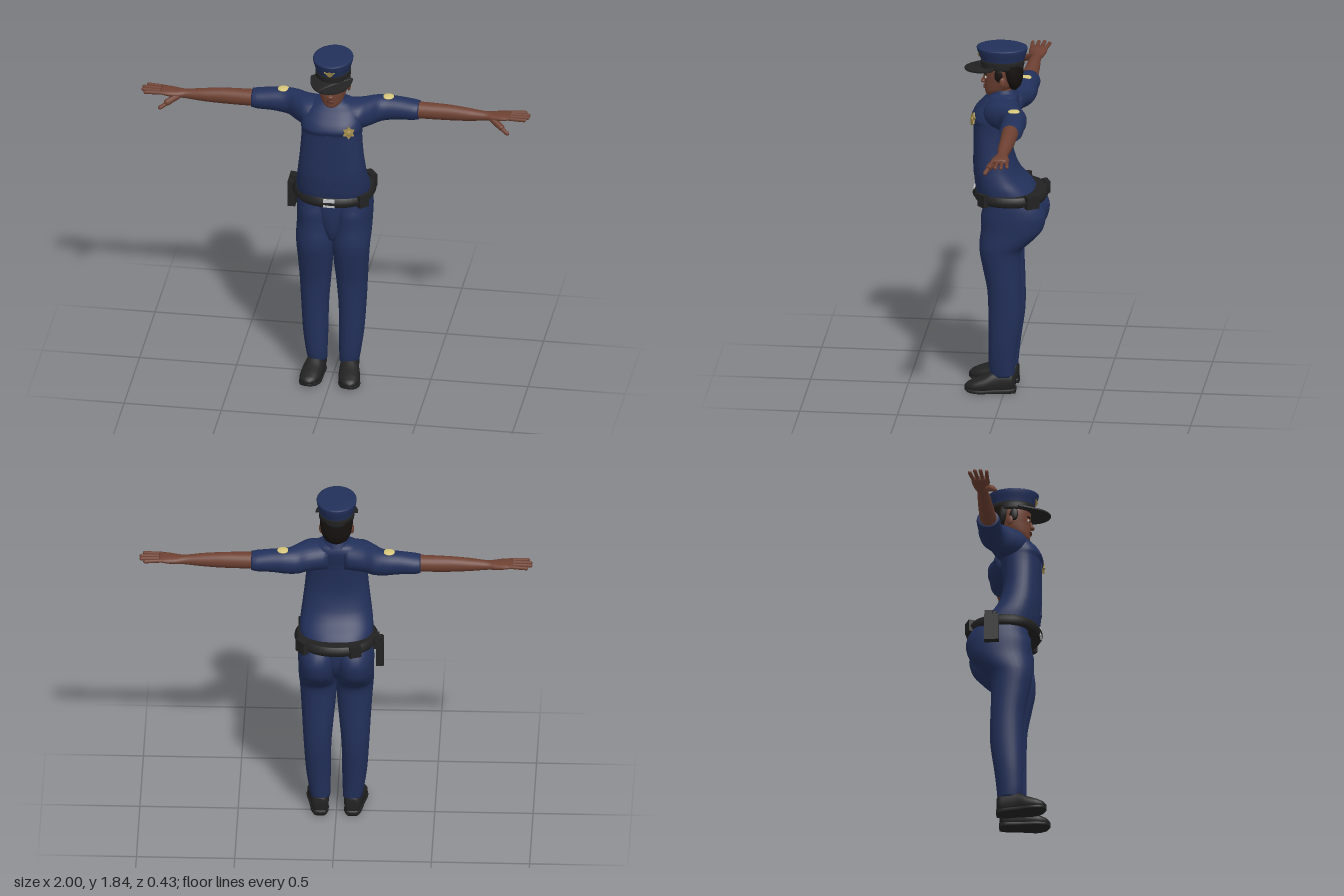
import * as THREE from 'three';

const mat = (name, color) => Object.assign(new THREE.MeshStandardMaterial({ color }), { name });
const navy = mat('navy cloth', 0x22305a);
const skin = mat('skin', 0x6e4132);
const black = mat('black leather', 0x222222);
const hairMat = mat('hair', 0x15110f);
const gold = mat('gold', 0xa08a4a);
const paleGold = mat('pale gold', 0xd6c67a);
const silver = mat('silver', 0xc4c6c8);
const lipMat = mat('lips', 0x54281f);
const white = mat('eye white', 0xd8d0c8);

// Smooth closed skin over rings [x, y, z, a, b] that lie across the given axis
function loft(axis, rings, { n = 2, seg = 28, steps = 4, floor = -1 } = {}) {
  const path = new THREE.CatmullRomCurve3(rings.map(r => new THREE.Vector3(r[0], r[1], r[2])));
  const size = new THREE.CatmullRomCurve3(rings.map(r => new THREE.Vector3(r[3], r[4], 0)));
  const count = (rings.length - 1) * steps, pos = [], idx = [];
  const pw = v => Math.sign(v) * Math.abs(v) ** (2 / n);
  for (let i = 0; i <= count; i++) {
    const c = path.getPoint(i / count), s = size.getPoint(i / count);
    for (let j = 0; j < seg; j++) {
      const t = j / seg * Math.PI * 2, u = s.x * pw(Math.cos(t)), v = s.y * pw(Math.sin(t));
      const p = axis === 'y' ? [c.x + u, c.y, c.z + v]
        : axis === 'x' ? [c.x, c.y + u, c.z + v] : [c.x + u, c.y + v, c.z];
      pos.push(p[0], Math.max(floor, p[1]), p[2]);
      if (i < count) {
        const a = i * seg + j, b = i * seg + (j + 1) % seg;
        idx.push(a, b, a + seg, b, b + seg, a + seg);
      }
    }
  }
  // end caps
  for (const [i, flip] of [[0, true], [count, false]]) {
    const c = path.getPoint(i / count), k = pos.length / 3;
    pos.push(c.x, c.y, c.z);
    for (let j = 0; j < seg; j++) {
      const a = i * seg + j, b = i * seg + (j + 1) % seg;
      idx.push(...(flip ? [k, b, a] : [k, a, b]));
    }
  }
  // turn the faces outward
  let vol = 0;
  const P = k => new THREE.Vector3().fromArray(pos, k * 3);
  for (let i = 0; i < idx.length; i += 3) vol += P(idx[i]).dot(P(idx[i + 1]).cross(P(idx[i + 2])));
  if (vol < 0) idx.reverse();
  const g = new THREE.BufferGeometry();
  g.setAttribute('position', new THREE.Float32BufferAttribute(pos, 3));
  g.setIndex(idx);
  g.computeVertexNormals();
  return g;
}

function capsule(a, b, r) {
  const A = new THREE.Vector3(...a), B = new THREE.Vector3(...b), d = B.clone().sub(A);
  const g = new THREE.CapsuleGeometry(r, d.length(), 4, 10);
  g.applyQuaternion(new THREE.Quaternion().setFromUnitVectors(new THREE.Vector3(0, 1, 0), d.normalize()));
  return g.translate(...A.add(B).multiplyScalar(0.5).toArray());
}

export function createModel() {
  const model = new THREE.Group();
  model.name = 'officer';
  const add = (name, geo, m, p = [0, 0, 0], r = [0, 0, 0], s = [1, 1, 1]) => {
    const mesh = new THREE.Mesh(geo, m);
    mesh.name = name;
    mesh.position.set(...p); mesh.rotation.set(...r); mesh.scale.set(...s);
    model.add(mesh);
    return mesh;
  };
  const ball = new THREE.SphereGeometry(1, 20, 14);
  const plate = (pts, depth) => new THREE.ExtrudeGeometry(
    new THREE.Shape(pts.map(p => new THREE.Vector2(...p))), { depth, bevelEnabled: false });

  // shirt: [y, half width, front z, back z]
  const torso = [[1.03, .185, .14, -.185], [1.1, .187, .155, -.135], [1.15, .182, .16, -.085],
    [1.2, .175, .165, -.055], [1.3, .163, .165, -.03], [1.4, .155, .165, -.035], [1.44, .155, .165, -.04],
    [1.465, .156, .174, -.045], [1.5, .155, .158, -.055], [1.55, .138, .112, -.065],
    [1.58, .1, .08, -.055], [1.595, .062, .065, -.035]];
  add('shirt', loft('y', torso.map(([y, a, f, b]) => [0, y, (f + b) / 2, a, (f - b) / 2]), { n: 2.4, seg: 40 }), navy);
  add('shirtPlacket', new THREE.BoxGeometry(.025, .3, .008), navy, [0, 1.3, .163]);

  for (const s of [1, -1]) {
    const side = s > 0 ? 'left' : 'right';
    // sleeve and rolled cuff
    add(side + 'Sleeve', loft('x', [[.04, 1.51, .01, .075, .085], [.14, 1.508, 0, .076, .1], [.19, 1.508, -.035, .074, .09],
      [.24, 1.51, -.065, .068, .066], [.32, 1.513, -.07, .06, .06], [.4, 1.51, -.07, .053, .06],
      [.43, 1.51, -.07, .047, .054]].map(r => [s * r[0], ...r.slice(1)])), navy);
    add(side + 'ShoulderButton', ball, paleGold, [s * .27, 1.573, -.07], [0, 0, 0], [.03, .009, .03]);

    // bare arm and palm
    add(side + 'Arm', loft('x', [[.38, 1.512, -.067, .043, .044], [.48, 1.51, -.068, .043, .041], [.58, 1.509, -.068, .041, .037],
      [.68, 1.507, -.066, .034, .033], [.77, 1.506, -.066, .024, .027], [.81, 1.508, -.066, .021, .038],
      [.86, 1.513, -.066, .019, .046], [.9, 1.517, -.066, .013, .045]].map(r => [s * r[0], ...r.slice(1)])), skin);
    [[-.102, -.113, .97], [-.078, -.085, .99], [-.054, -.056, .99], [-.031, -.026, .975]].forEach(([z0, z1, x], i) =>
      add(side + 'Finger' + (i + 1), capsule([s * .885, 1.517, z0], [s * x, 1.517, z1], .0095), skin));
    add(side + 'ThumbBase', capsule([s * .81, 1.5, -.045], [s * .86, 1.476, -.01], .017), skin);
    add(side + 'Thumb', capsule([s * .85, 1.478, -.012], [s * .893, 1.453, .008], .011), skin);

    // trouser leg with seat: [y, x, half width, front z, back z]
    const leg = [[.09, .082, .05, .07, -.052], [.14, .086, .055, .078, -.056], [.25, .092, .064, .08, -.068],
      [.4, .096, .07, .08, -.088], [.55, .094, .08, .085, -.088], [.68, .092, .09, .11, -.084],
      [.77, .093, .096, .125, -.09], [.82, .094, .098, .125, -.14], [.88, .094, .098, .118, -.195],
      [.95, .094, .1, .118, -.213], [1.0, .092, .1, .108, -.2], [1.06, .09, .095, .1, -.16]];
    add(side + 'TrouserLeg', loft('y', leg.map(([y, x, a, f, b]) => [s * x, y, (f + b) / 2, a, (f - b) / 2]), { n: 2.15 }), navy);

    // shoe upper and sole
    add(side + 'Shoe', loft('z', [[.082, .06, -.056, .026, .035], [.083, .06, -.04, .042, .058], [.085, .06, 0, .046, .067],
      [.089, .055, .05, .05, .065], [.096, .045, .1, .055, .048], [.101, .038, .15, .052, .035],
      [.104, .034, .185, .036, .022], [.105, .032, .2, .012, .008]].map(r => [s * r[0], ...r.slice(1)]), { floor: .012, n: 2.2 }), black);
    add(side + 'Sole', loft('z', [[.082, .014, -.058, .03, .014], [.084, .014, -.02, .045, .014], [.092, .014, .06, .05, .013],
      [.1, .014, .13, .057, .012], [.104, .018, .18, .042, .011], [.105, .022, .2, .012, .007]]
      .map(r => [s * r[0], ...r.slice(1)]), { n: 4, floor: 0 }), black);

    // collar flap
    const flap = add(side + 'CollarFlap', plate([[0, 0], [.055, .03], [.05, -.01], [.03, -.035]].map(([x, y]) => [s * x, y]), .006),
      navy, [s * .004, 1.585, .082], [-.5, s * .45, 0]);
    flap.castShadow = true;

    // face features
    add(side + 'Ear', ball, skin, [s * .079, 1.66, .01], [0, s * .3, 0], [.01, .026, .017]);
    add(side + 'Eye', ball, white, [s * .031, 1.672, .102], [0, s * .35, 0], [.014, .007, .006]);
    add(side + 'Iris', ball, hairMat, [s * .031, 1.672, .106], [0, s * .3, 0], [.006, .0065, .004]);
    add(side + 'Eyebrow', ball, hairMat, [s * .033, 1.691, .103], [0, s * .4, s * -.08], [.019, .004, .006]);
    add(side + 'Sideburn', ball, hairMat, [s * .075, 1.695, .03], [0, 0, 0], [.008, .035, .022]);
  }
  add('pelvis', loft('y', [[0, .8, .02, .03, .06], [0, .86, -.01, .07, .11], [0, .95, -.03, .13, .14],
    [0, 1.06, -.03, .17, .14]]), navy);

  // neck, collar band and head
  add('neck', loft('y', [[0, 1.54, .01, .055, .055], [0, 1.59, .012, .05, .052], [0, 1.65, .015, .05, .055]]), skin);
  const collarMat = navy.clone();
  collarMat.side = THREE.DoubleSide;
  add('collar', new THREE.CylinderGeometry(.06, .074, .035, 28, 1, true), collarMat, [0, 1.593, .012]);
  add('head', loft('y', [[0, 1.573, .075, .02, .022], [0, 1.582, .066, .038, .04], [0, 1.605, .046, .057, .062],
    [0, 1.635, .026, .068, .084], [0, 1.67, .02, .075, .09], [0, 1.71, .018, .079, .094], [0, 1.75, .018, .076, .09]], { n: 2.1 }), skin);
  add('noseBridge', capsule([0, 1.675, .106], [0, 1.648, .117], .008), skin);
  add('noseTip', ball, skin, [0, 1.643, .117], [0, 0, 0], [.017, .01, .013]);
  add('upperLip', ball, lipMat, [0, 1.617, .109], [0, 0, 0], [.022, .005, .008]);
  add('lowerLip', ball, lipMat, [0, 1.609, .106], [0, 0, 0], [.019, .006, .009]);
  add('hair', loft('y', [[0, 1.605, -.04, .025, .015], [0, 1.625, -.04, .055, .034], [0, 1.66, -.035, .074, .05],
    [0, 1.7, -.028, .082, .06], [0, 1.745, -.02, .083, .068]]), hairMat);

  // cap
  add('capBand', loft('y', [[0, 1.722, .018, .086, .106], [0, 1.732, .018, .09, .11], [0, 1.765, .018, .09, .112]], { steps: 3, seg: 36 }), black);
  add('capCrown', loft('y', [[0, 1.755, .018, .086, .108], [0, 1.775, .019, .09, .115], [0, 1.81, .02, .1, .127],
    [0, 1.826, .021, .102, .13], [0, 1.833, .021, .092, .118], [0, 1.836, .021, .05, .07]], { seg: 36 }), navy);
  const outline = [];
  for (let i = 0; i <= 24; i++) {
    const t = i / 24 * Math.PI;
    outline.push([.108 * Math.cos(t), .06 + .152 * Math.sin(t)]);
  }
  for (let i = 24; i >= 0; i--) {
    const t = i / 24 * Math.PI;
    outline.push([.08 * Math.cos(t), .05 + .065 * Math.sin(t)]);
  }
  const visor = plate(outline, .008).rotateX(Math.PI / 2);
  const vp = visor.attributes.position;
  for (let i = 0; i < vp.count; i++) // slope down to the front and the sides
    vp.setY(i, vp.getY(i) + 1.745 - .2 * (vp.getZ(i) - .06) - 1.2 * vp.getX(i) ** 2);
  visor.computeVertexNormals();
  add('capVisor', visor, black);
  add('capBadge', plate([[-.028, .012], [-.012, .009], [0, .016], [.012, .009], [.028, .012], [.01, -.01], [0, -.016], [-.01, -.01]], .008),
    gold, [0, 1.786, .134], [.2, 0, 0]);

  // chest badge: six-point star
  const star = [];
  for (let i = 0; i < 12; i++) {
    const r = i % 2 ? .021 : .034, t = i / 12 * Math.PI * 2 + Math.PI / 2;
    star.push([r * Math.cos(t), r * Math.sin(t)]);
  }
  add('chestBadge', plate(star, .009), gold, [.1, 1.468, .155], [-.2, .4, 0]);
  add('chestBadgeCentre', ball, gold, [.104, 1.468, .164], [-.2, .4, 0], [.013, .015, .006]);

  // belt with its gear
  add('belt', loft('y', [[0, 1.025, -.025, .194, .176], [0, 1.03, -.025, .199, .181], [0, 1.075, -.025, .199, .181],
    [0, 1.08, -.025, .194, .176]], { n: 2.2, seg: 48, steps: 2 }), black);
  add('buckle', new THREE.BoxGeometry(.058, .044, .009), silver, [0, 1.054, .16]);
  const box = (name, p, size, ry) => add(name, new THREE.BoxGeometry(...size), black, p, [0, ry, 0]);
  box('frontPouch', [.165, 1.053, .1], [.055, .066, .03], .75);
  box('sidePouch', [.168, 1.055, -.15], [.07, .068, .035], 2.2);
  box('backPouch', [-.1, 1.055, -.192], [.06, .062, .03], .4);
  box('holster', [-.224, .99, -.07], [.04, .14, .075], 0);
  box('holsterLoop', [-.205, 1.05, -.07], [.03, .075, .05], 0);
  box('gripStock', [-.226, 1.07, -.085], [.024, .03, .04], 0);
  return model;
}
